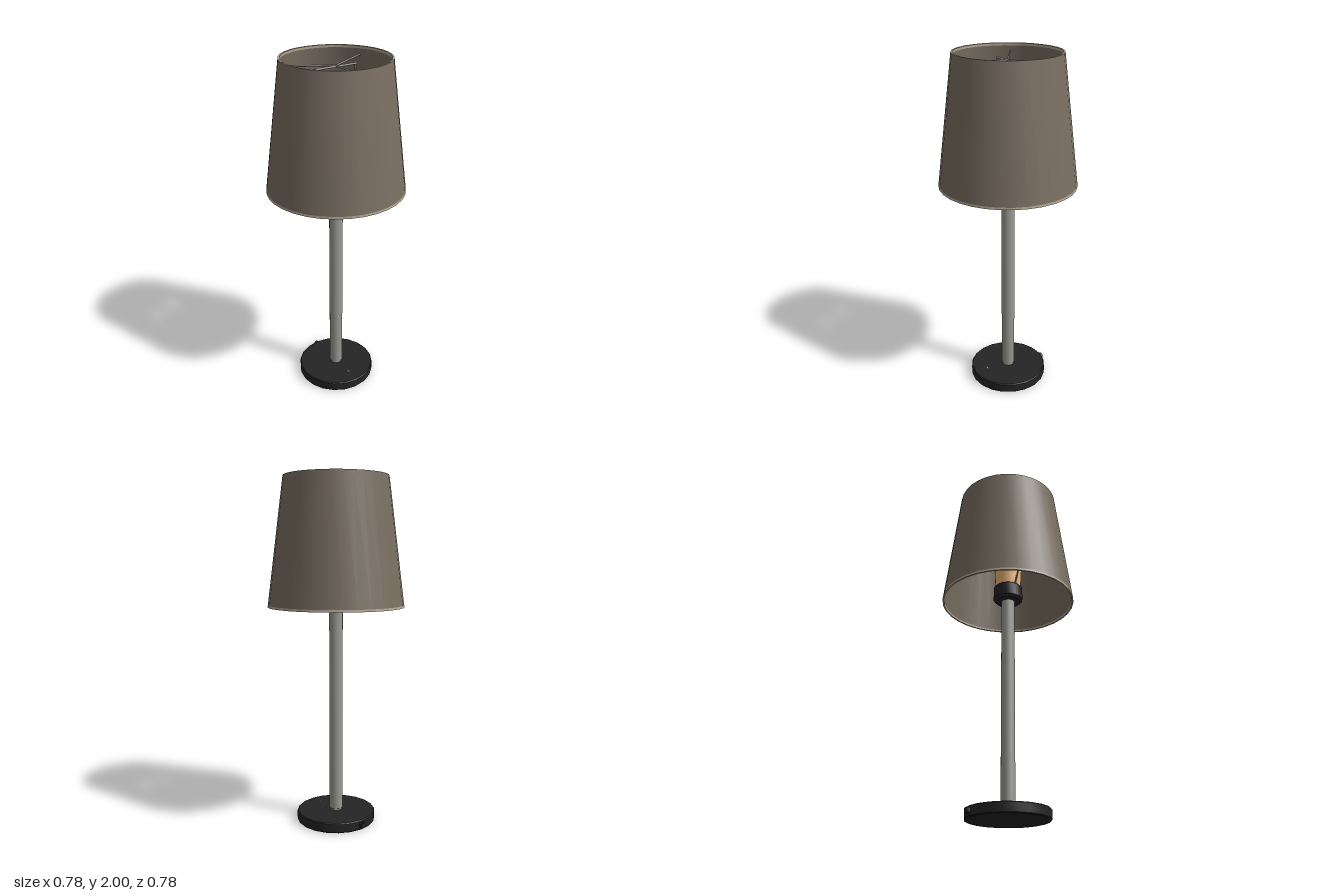
import * as THREE from 'three';
import { toCreasedNormals } from 'three/addons/utils/BufferGeometryUtils.js';

const mat = (color) => new THREE.MeshStandardMaterial({ color });
const fabric = mat(0x7a6f62);
const trim = mat(0xb5aa94);
const black = mat(0x242424);
const metal = mat(0x9a9a94);
const amber = mat(0xf0b878);

export function createModel() {
  const lamp = new THREE.Group();
  lamp.name = 'tableLamp';

  const add = (name, geometry, material) => {
    const mesh = new THREE.Mesh(geometry, material);
    mesh.name = name;
    lamp.add(mesh);
    return mesh;
  };

  // Turned part from [radius, height] pairs, with crisp edges kept
  const turned = (name, profile, sides, material) => {
    const points = profile.map(([r, y]) => new THREE.Vector2(r, y));
    const geometry = new THREE.LatheGeometry(points, sides);
    return add(name, toCreasedNormals(geometry, 0.5), material);
  };

  // Round rod between two points
  const rod = (name, from, to, radius, material) => {
    const a = new THREE.Vector3(...from);
    const b = new THREE.Vector3(...to);
    const direction = b.clone().sub(a);
    const mesh = add(name, new THREE.CylinderGeometry(radius, radius, direction.length(), 8), material);
    mesh.position.copy(a).add(b).multiplyScalar(0.5);
    mesh.quaternion.setFromUnitVectors(new THREE.Vector3(0, 1, 0), direction.normalize());
    return mesh;
  };

  // Foot, with a cord outlet at the back and a small button at the front
  turned('base', [[0, 0], [0.226, 0], [0.23, 0.005], [0.23, 0.053], [0.225, 0.058], [0, 0.058]], 20, black);
  rod('cordOutlet', [0, 0.031, -0.21], [0, 0.031, -0.243], 0.019, black);
  rod('cordOutletTip', [0, 0.031, -0.24], [0, 0.031, -0.248], 0.016, black);
  rod('button', [0, 0.055, 0.145], [0, 0.063, 0.145], 0.006, metal);

  // Stem
  turned('stem', [[0, 0.056], [0.034, 0.056], [0.034, 0.066], [0.039, 0.07], [0.039, 1.29], [0, 1.29]], 20, metal);

  // Socket and bulb
  turned('socket', [[0, 1.28], [0.07, 1.28], [0.086, 1.295], [0.086, 1.37], [0.08, 1.376], [0, 1.376]], 20, black);
  turned('bulb', [[0.075, 1.37], [0.08, 1.46], [0.085, 1.56], [0.08, 1.6],
    [0.07, 1.64], [0.053, 1.67], [0.03, 1.681], [0, 1.685]], 20, amber);

  // Harp around the bulb
  for (const side of [-1, 1]) {
    rod('harpFoot', [side * 0.08, 1.36, 0], [side * 0.122, 1.45, 0], 0.005, metal);
    rod('harpLeg', [side * 0.122, 1.445, 0], [side * 0.122, 1.955, 0], 0.005, metal);
  }
  rod('harpBar', [-0.127, 1.95, 0], [0.127, 1.95, 0], 0.006, metal);

  // Three spokes carrying the shade
  for (let i = 0; i < 3; i++) {
    const angle = (i * Math.PI * 2) / 3;
    rod('spoke', [0, 1.955, 0], [Math.sin(angle) * 0.285, 1.955, Math.cos(angle) * 0.285], 0.005, metal);
  }

  // Shade: outer and inner walls
  const sides = 32;
  turned('shadeOuter', [[0.3885, 1.282], [0.297, 2]], sides, fabric);
  turned('shadeInner', [[0.288, 1.998], [0.3795, 1.282]], sides, fabric);

  // Pale edging closing the wall at top and bottom
  turned('shadeTopEdge', [[0.2975, 1.996], [0.297, 2], [0.288, 2], [0.289, 1.985]], sides, trim);
  turned('shadeBottomEdge', [[0.3795, 1.285], [0.381, 1.27], [0.39, 1.27], [0.3888, 1.283]], sides, trim);

  return lamp;
}
